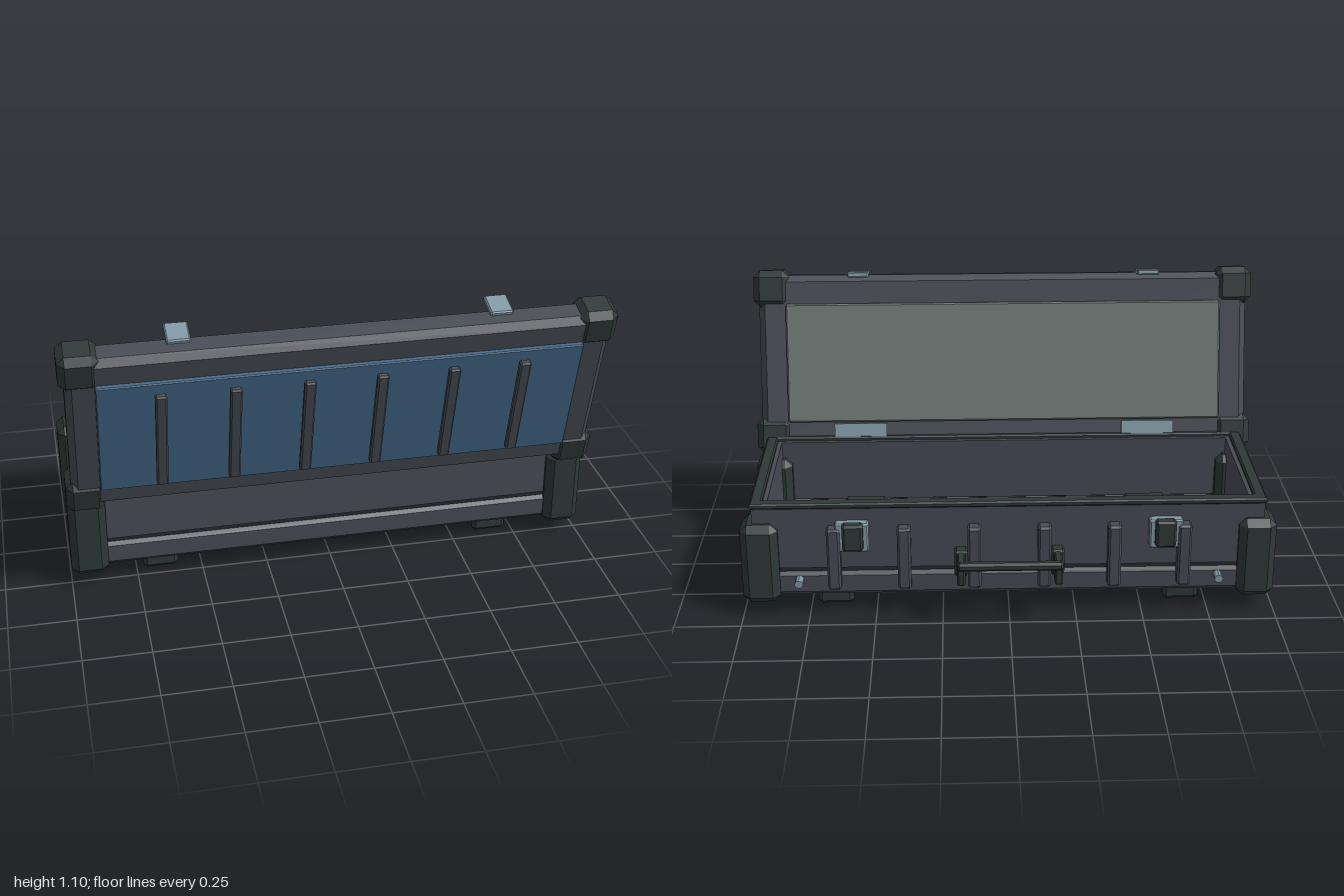
import * as THREE from 'three';
import { ConvexGeometry } from 'three/addons/geometries/ConvexGeometry.js';

const paint = (color) => new THREE.MeshStandardMaterial({ color, flatShading: true });

export function createModel() {
  const shell = paint(0x474b53), dark = paint(0x2f3938), blue = paint(0x44698a);
  const lining = paint(0x6c7773), metal = paint(0x8299a6), groove = paint(0x25282c);

  const model = new THREE.Group();
  model.name = 'openCase';
  const base = new THREE.Group();
  base.name = 'base';
  const lid = new THREE.Group();
  lid.name = 'lid';
  model.add(base, lid);

  function add(parent, name, geometry, material) {
    const mesh = new THREE.Mesh(geometry, material);
    mesh.name = name;
    parent.add(mesh);
    return mesh;
  }

  // Box between two limits per axis, with every edge cut by c
  function block(parent, name, material, [x0, x1], [y0, y1], [z0, z1], c = 0) {
    const w = x1 - x0, h = y1 - y0, d = z1 - z0;
    let geometry;
    if (c > 0) {
      const pts = [];
      for (const i of [-1, 1]) for (const j of [-1, 1]) for (const k of [-1, 1]) {
        const X = i * w / 2, Y = j * h / 2, Z = k * d / 2;
        pts.push(new THREE.Vector3(X, Y - j * c, Z - k * c),
          new THREE.Vector3(X - i * c, Y, Z - k * c),
          new THREE.Vector3(X - i * c, Y - j * c, Z));
      }
      geometry = new ConvexGeometry(pts);
    } else geometry = new THREE.BoxGeometry(w, h, d);
    const mesh = add(parent, name, geometry, material);
    mesh.position.set((x0 + x1) / 2, (y0 + y1) / 2, (z0 + z1) / 2);
    return mesh;
  }

  // Same part on the left and right
  function pair(parent, name, material, [x0, x1], y, z, c) {
    block(parent, name + 'Left', material, [x0, x1], y, z, c);
    block(parent, name + 'Right', material, [-x1, -x0], y, z, c);
  }

  // Upright rectangular ring, open in the middle
  function ring(name, material, hx, hz, wall, y0, y1, bevel = 0) {
    const rect = (a, b, p) => {
      p.moveTo(-a, -b).lineTo(a, -b).lineTo(a, b).lineTo(-a, b).closePath();
      return p;
    };
    const shape = rect(hx - bevel, hz - bevel, new THREE.Shape());
    shape.holes.push(rect(hx - wall + bevel, hz - wall + bevel, new THREE.Path()));
    const geometry = new THREE.ExtrudeGeometry(shape, {
      depth: y1 - y0 - 2 * bevel, bevelEnabled: bevel > 0,
      bevelSize: bevel, bevelThickness: bevel, bevelSegments: 1,
    });
    geometry.rotateX(-Math.PI / 2);
    add(base, name, geometry, material).position.set(0, y0 + bevel, -0.065);
  }

  // Base: plinth, groove, walls, rim and floor
  block(base, 'plinth', shell, [-0.96, 0.96], [0.07, 0.172], [-0.4, 0.27], 0.018);
  ring('groove', groove, 0.947, 0.322, 0.03, 0.168, 0.186);
  ring('walls', shell, 0.952, 0.327, 0.055, 0.184, 0.435);
  ring('rim', dark, 0.958, 0.333, 0.045, 0.428, 0.45, 0.006);
  block(base, 'floor', lining, [-0.91, 0.91], [0.165, 0.177], [-0.35, 0.22]);
  pair(base, 'innerPad', dark, [0.47, 0.645], [0.17, 0.25], [-0.24, 0.1], 0.015);

  // Corner posts and feet
  for (const [end, z, footZ] of [['front', [0.155, 0.3], [0.08, 0.215]], ['back', [-0.43, -0.283], [-0.343, -0.21]]]) {
    pair(base, end + 'Post', dark, [0.858, 0.998], [0.05, 0.37], z, 0.027);
    pair(base, end + 'Foot', dark, [0.59, 0.725], [0, 0.1], footZ, 0.015);
  }

  // Ribs: on the back of the base and the outside of the lid
  for (let i = 0; i < 6; i++) {
    const x = -0.653 + i * 0.261;
    block(base, 'backRib', shell, [x - 0.025, x + 0.025], [0.11, 0.36], [-0.437, -0.37], 0.008);
    block(lid, 'lidRib', shell, [x - 0.021, x + 0.021], [0.133, 0.558], [0.124, 0.151], 0.006);
  }

  // Latches and rivets on the back
  pair(base, 'latchPlate', metal, [0.52, 0.645], [0.265, 0.38], [-0.428, -0.37], 0.006);
  pair(base, 'latch', dark, [0.54, 0.617], [0.28, 0.387], [-0.459, -0.415], 0.009);
  for (const s of [-1, 1]) {
    const rivet = add(base, 'rivet', new THREE.CylinderGeometry(0.016, 0.016, 0.045, 10), metal);
    rivet.rotation.x = Math.PI / 2;
    rivet.position.set(s * 0.785, 0.14, -0.421);
  }

  // Carrying handle
  const handle = new THREE.Group();
  handle.name = 'handle';
  base.add(handle);
  pair(handle, 'handleMount', dark, [0.155, 0.205], [0.16, 0.265], [-0.437, -0.38], 0.008);
  pair(handle, 'handleArm', dark, [0.165, 0.195], [0.165, 0.26], [-0.522, -0.42], 0.006);
  block(handle, 'handleBar', dark, [-0.195, 0.195], [0.234, 0.266], [-0.541, -0.508], 0.009);

  // Lid, built upright with its outside to +z, then leaned back
  block(lid, 'lidShell', shell, [-0.978, 0.978], [0.003, 0.692], [-0.022, 0.097], 0.025);
  block(lid, 'outerPanel', blue, [-0.875, 0.875], [0.1, 0.59], [0.08, 0.115], 0.004);
  block(lid, 'innerPanel', lining, [-0.87, 0.87], [0.103, 0.579], [-0.041, -0.01], 0.006);
  for (const [end, y] of [['lower', [-0.025, 0.118]], ['upper', [0.566, 0.712]]])
    pair(lid, end + 'LidCorner', dark, [0.855, 0.998], y, [-0.034, 0.104], 0.026);
  pair(lid, 'hingePlate', metal, [0.475, 0.685], [-0.002, 0.095], [-0.032, -0.015]);
  pair(lid, 'latchCatch', metal, [0.535, 0.62], [0.684, 0.706], [-0.071, 0.03], 0.005);
  lid.position.set(0, 0.4, 0.25);
  lid.rotation.x = THREE.MathUtils.degToRad(15);

  return model;
}
